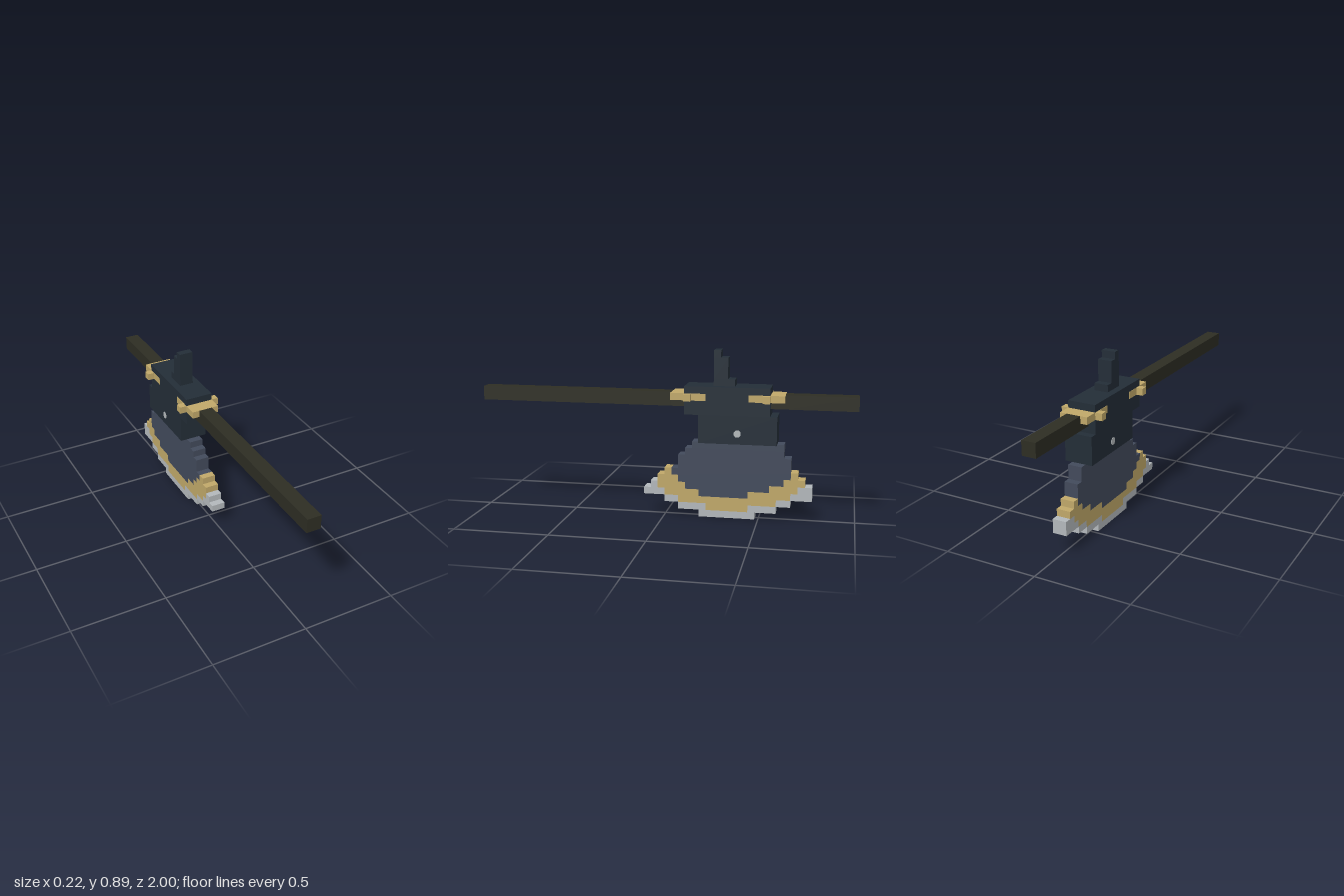
import * as THREE from 'three';
import { mergeGeometries } from 'three/addons/utils/BufferGeometryUtils.js';

const U = 2 / 54; // one block

const material = (name, color) => {
  const m = new THREE.MeshStandardMaterial({ color });
  m.name = name;
  return m;
};

// Box in block units: half width in x, rows y0..y1, n0..n1 counted from the front end
function block(half, y0, y1, n0, n1, x = 0) {
  return new THREE.BoxGeometry(2 * half * U, (y1 - y0) * U, (n1 - n0) * U)
    .translate(x * U, (y0 + y1) / 2 * U, 1 - (n0 + n1) / 2 * U);
}

export function createModel() {
  const group = new THREE.Group();
  const dark = material('dark steel', 0x232d37);
  const navy = material('blue steel', 0x424a5b);
  const gold = material('gold', 0xc0a869);
  const silver = material('silver edge', 0xb3b8bb);
  const wood = material('dark wood', 0x2d2d23);

  const add = (name, mat, parts) => {
    const mesh = new THREE.Mesh(mergeGeometries(parts), mat);
    mesh.name = name;
    group.add(mesh);
  };

  // Shaft, notched where the gold clasps sit on it
  add('shaft', wood, [
    block(1, 16, 18, 0, 28), block(1, 16, 17, 28, 44), block(1, 16, 18, 44, 54),
  ]);

  // Head and stepped spike
  add('head', dark, [block(2, 15, 19, 30, 42), block(2, 11, 15, 32, 43)]);
  add('spike', dark, [
    block(1, 19, 20, 34, 37), block(1, 20, 23, 34, 36), block(1, 23, 24, 34, 35),
  ]);

  // Gold clasps at both ends of the head, with side tabs and inlays
  add('clasps', gold, [
    block(2, 17, 18, 28, 30), block(2, 17, 18, 42, 44),
    ...[-1, 1].flatMap((s) => [
      block(0.5, 17, 18, 30, 31, s * 2.5), block(0.5, 17, 18, 41, 42, s * 2.5),
      block(0.05, 17, 18, 31, 33, s * 2), block(0.05, 17, 18, 39, 41, s * 2),
    ]),
  ]);

  // Rivet on each side of the head
  add('rivets', silver, [-1, 1].map((s) =>
    new THREE.CylinderGeometry(0.54 * U, 0.54 * U, 0.1 * U, 8)
      .rotateY(Math.PI / 8).rotateZ(Math.PI / 2)
      .translate(s * 2 * U, 12.5 * U, 1 - 37.5 * U)));

  // Blade rows from the bottom up: nested spans of edge, gold and core
  const rows = [
    [[32, 40]],
    [[29, 43], [33, 39]],
    [[27, 45], [29, 43]],
    [[24, 48], [27, 45], [32, 39]],
    [[25, 48], [26, 46], [30, 42]],
    [null, [26, 47], [29, 44]],
    [null, [27, 46], [28, 45]],
    [null, null, [29, 45]],
    [null, null, [29, 45]],
    [null, null, [30, 44]],
    [null, null, [31, 44]],
  ];
  const layers = [[], [], []];
  rows.forEach((spans, y) => spans.forEach((span, i) => {
    if (!span) return;
    const inner = spans[i + 1];
    const pieces = inner ? [[span[0], inner[0]], [inner[1], span[1]]] : [span];
    for (const [a, b] of pieces) if (b > a) layers[i].push(block(1, y, y + 1, a, b));
  }));
  add('bladeEdge', silver, layers[0]);
  add('bladeBand', gold, layers[1]);
  add('bladeCore', navy, layers[2]);

  return group;
}
